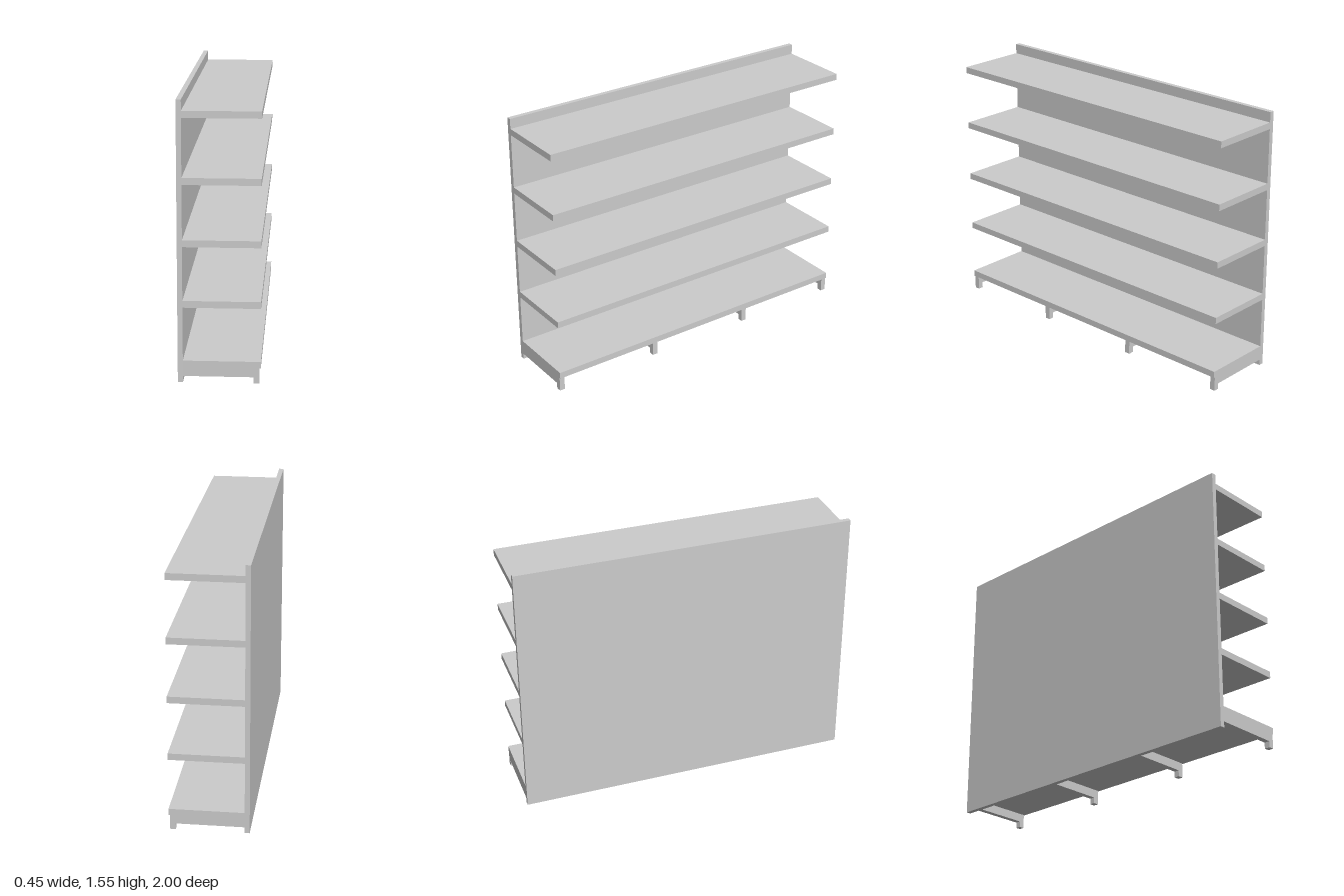
import * as THREE from 'three';

const material = new THREE.MeshStandardMaterial({ color: 0xcccccc, flatShading: true });

// Box given by its x and y limits, running the full length in z
function slab(name, x0, x1, y0, y1) {
  const mesh = new THREE.Mesh(new THREE.BoxGeometry(x1 - x0, y1 - y0, 2), material);
  mesh.position.set((x0 + x1) / 2, (y0 + y1) / 2, 0);
  mesh.name = name;
  return mesh;
}

export function createModel() {
  const group = new THREE.Group();
  group.name = 'shelvingUnit';

  // Upright back panel
  group.add(slab('backPanel', -0.225, -0.197, 0, 1.55));

  // Shelves, by the height of their undersides
  [0.085, 0.422, 0.758, 1.096, 1.453].forEach((y, i) => {
    group.add(slab(i === 0 ? 'baseShelf' : `shelf${i}`, -0.197, 0.225, y, y + 0.038));
  });

  // L-shaped base brackets: a rail under the base shelf with a foot at its front end
  const profile = new THREE.Shape([
    [-0.197, 0.035], [0.186, 0.035], [0.186, 0], [0.218, 0], [0.218, 0.085], [-0.197, 0.085],
  ].map(([x, y]) => new THREE.Vector2(x, y)));
  const depth = 0.032;
  const bracket = new THREE.ExtrudeGeometry(profile, { depth, bevelEnabled: false });
  bracket.translate(0, 0, -depth / 2);
  [-0.984, -0.335, 0.335, 0.984].forEach((z, i) => {
    const mesh = new THREE.Mesh(bracket, material);
    mesh.position.z = z;
    mesh.name = `baseBracket${i + 1}`;
    group.add(mesh);
  });

  return group;
}
